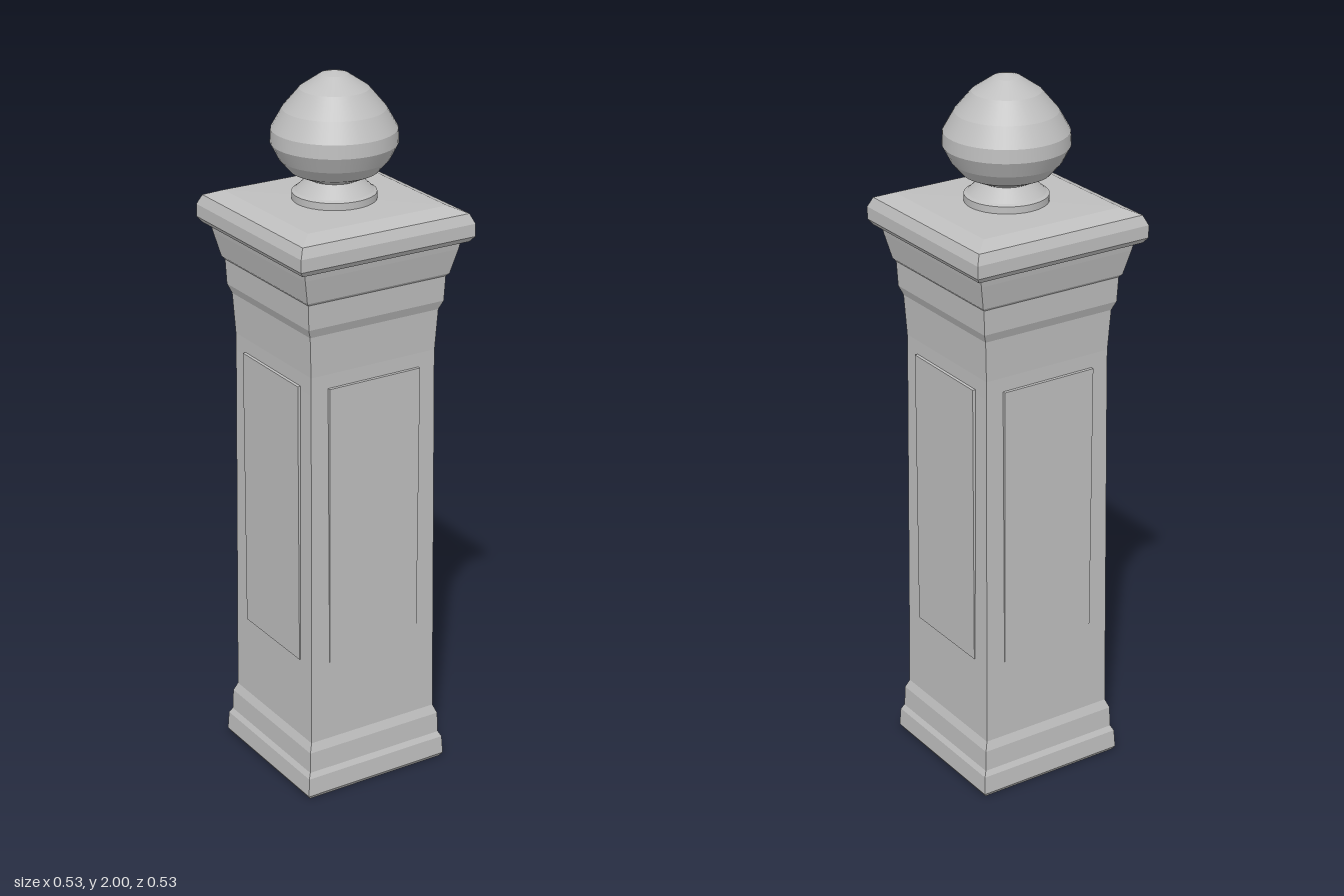
import * as THREE from 'three';
import { mergeGeometries } from 'three/addons/utils/BufferGeometryUtils.js';

const stone = new THREE.MeshStandardMaterial({ color: 0xbebebe });
stone.name = 'grey stone';

// Sweeps a profile of [radius, height] pairs, with a hard edge at every profile point
function banded(profile, sides, start = 0) {
  const bands = [];
  for (let i = 0; i < profile.length - 1; i++) {
    const pair = [profile[i], profile[i + 1]].map(([r, y]) => new THREE.Vector2(r, y));
    bands.push(new THREE.LatheGeometry(pair, sides, start));
  }
  return mergeGeometries(bands);
}

// Square section with flat faces; profile gives half-widths
function square(profile) {
  const scaled = profile.map(([h, y]) => [h * Math.SQRT2, y]);
  const g = banded(scaled, 4, Math.PI / 4).toNonIndexed();
  g.computeVertexNormals();
  return g;
}

export function createModel() {
  const group = new THREE.Group();
  group.name = 'stonePillar';
  const add = (name, geometry) => {
    const mesh = new THREE.Mesh(geometry, stone);
    mesh.name = name;
    group.add(mesh);
    return mesh;
  };

  // Stepped plinth
  add('plinth', square([
    [0, 0], [0.217, 0], [0.225, 0.012], [0.222, 0.065], [0.214, 0.08],
    [0.212, 0.14], [0.202, 0.165],
  ]));

  // Slightly tapered shaft, flaring towards the collar
  add('shaft', square([
    [0.202, 0.165], [0.194, 1.2], [0.194, 1.25], [0.2, 1.365], [0.21, 1.39],
  ]));

  // Collar and overhanging cap
  add('collar', square([
    [0.21, 1.39], [0.213, 1.46], [0.22, 1.468], [0.236, 1.537], [0.24, 1.558],
  ]));
  add('cap', square([
    [0.24, 1.558], [0.256, 1.56], [0.267, 1.575], [0.267, 1.61],
    [0.255, 1.637], [0.213, 1.655], [0, 1.656],
  ]));

  // Thin upright panel on each side
  for (let i = 0; i < 4; i++) {
    const g = new THREE.BoxGeometry(0.284, 0.81, 0.009);
    g.translate(0, 0.805, 0.1985);
    add('sidePanel', g).rotation.y = i * Math.PI / 2;
  }

  // Round foot and pointed ball
  add('finialFoot', banded([
    [0.113, 1.65], [0.113, 1.675], [0.105, 1.68], [0.07, 1.712],
  ], 40));
  add('finialBall', banded([
    [0.07, 1.712], [0.118, 1.734], [0.147, 1.767], [0.169, 1.81], [0.167, 1.847],
    [0.137, 1.9], [0.092, 1.953], [0.037, 1.99], [0, 2],
  ], 40));

  return group;
}
